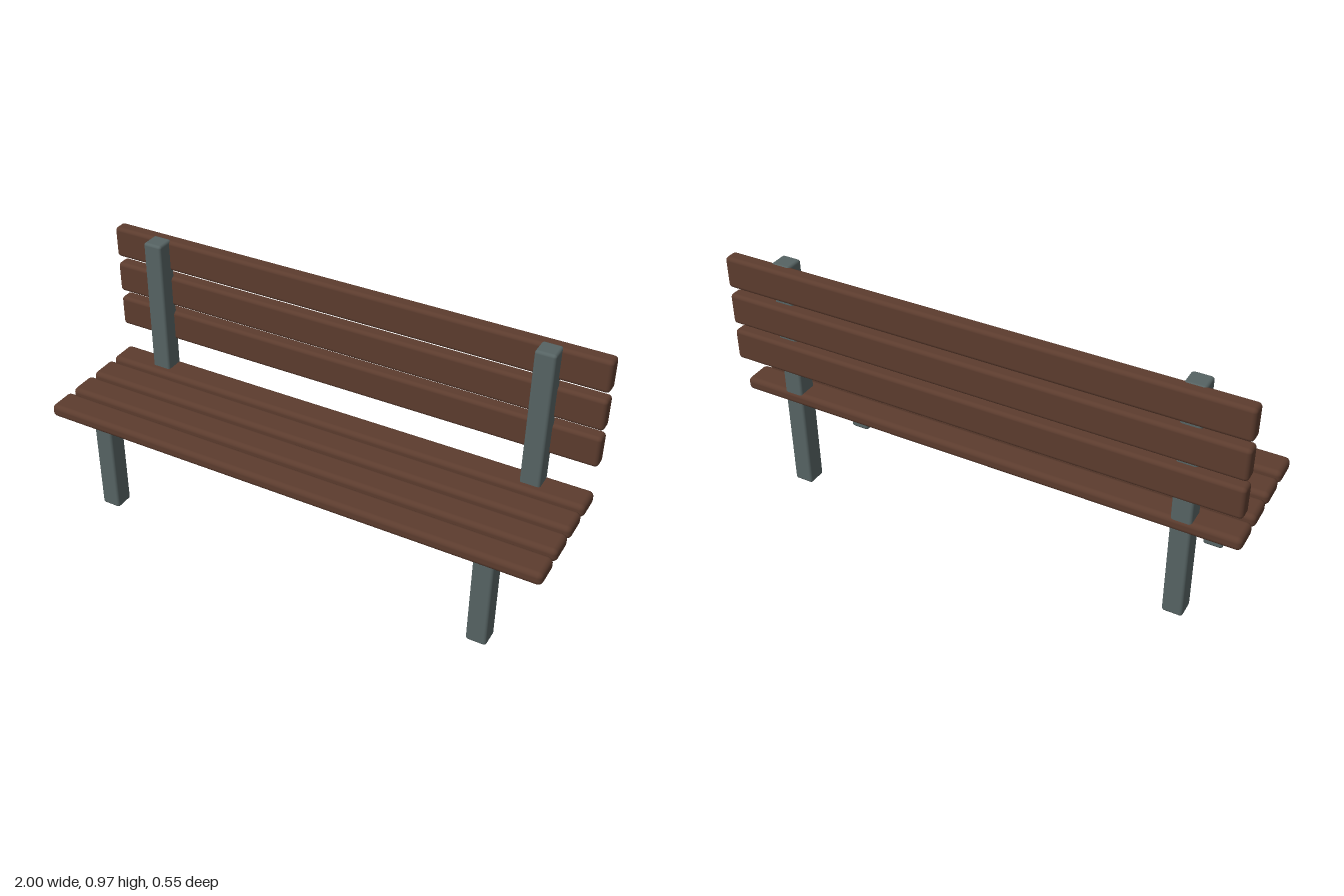
import * as THREE from 'three';
import { RoundedBoxGeometry } from 'three/addons/geometries/RoundedBoxGeometry.js';

export function createModel() {
  const bench = new THREE.Group();
  bench.name = 'bench';
  const wood = new THREE.MeshStandardMaterial({ color: 0x5c3c2e });
  wood.name = 'brown wood';
  const metal = new THREE.MeshStandardMaterial({ color: 0x566363 });
  metal.name = 'grey metal';

  // Softly rounded bar, placed by its centre
  const bar = (name, size, radius, material, x, y, z) => {
    const mesh = new THREE.Mesh(new RoundedBoxGeometry(...size, 3, radius), material);
    mesh.name = name;
    mesh.position.set(x, y, z);
    bench.add(mesh);
  };

  // Four seat slats, front to back
  for (let i = 0; i < 4; i++) {
    bar('seatSlat' + (i + 1), [2, 0.052, 0.113], 0.019, wood, 0, 0.403, 0.217 - i * 0.1333);
  }

  // Three backrest slats behind the posts, bottom to top
  for (let i = 0; i < 3; i++) {
    bar('backSlat' + (i + 1), [2, 0.125, 0.058], 0.015, wood, 0, 0.602 + i * 0.153, -0.243);
  }

  // Short front legs, and tall rear posts that carry the backrest
  for (const [side, x] of [['left', 0.785], ['right', -0.785]]) {
    bar(side + 'FrontLeg', [0.078, 0.4, 0.078], 0.011, metal, x, 0.2, 0.204);
    bar(side + 'RearPost', [0.078, 0.973, 0.078], 0.011, metal, x, 0.4865, -0.196);
  }
  return bench;
}
